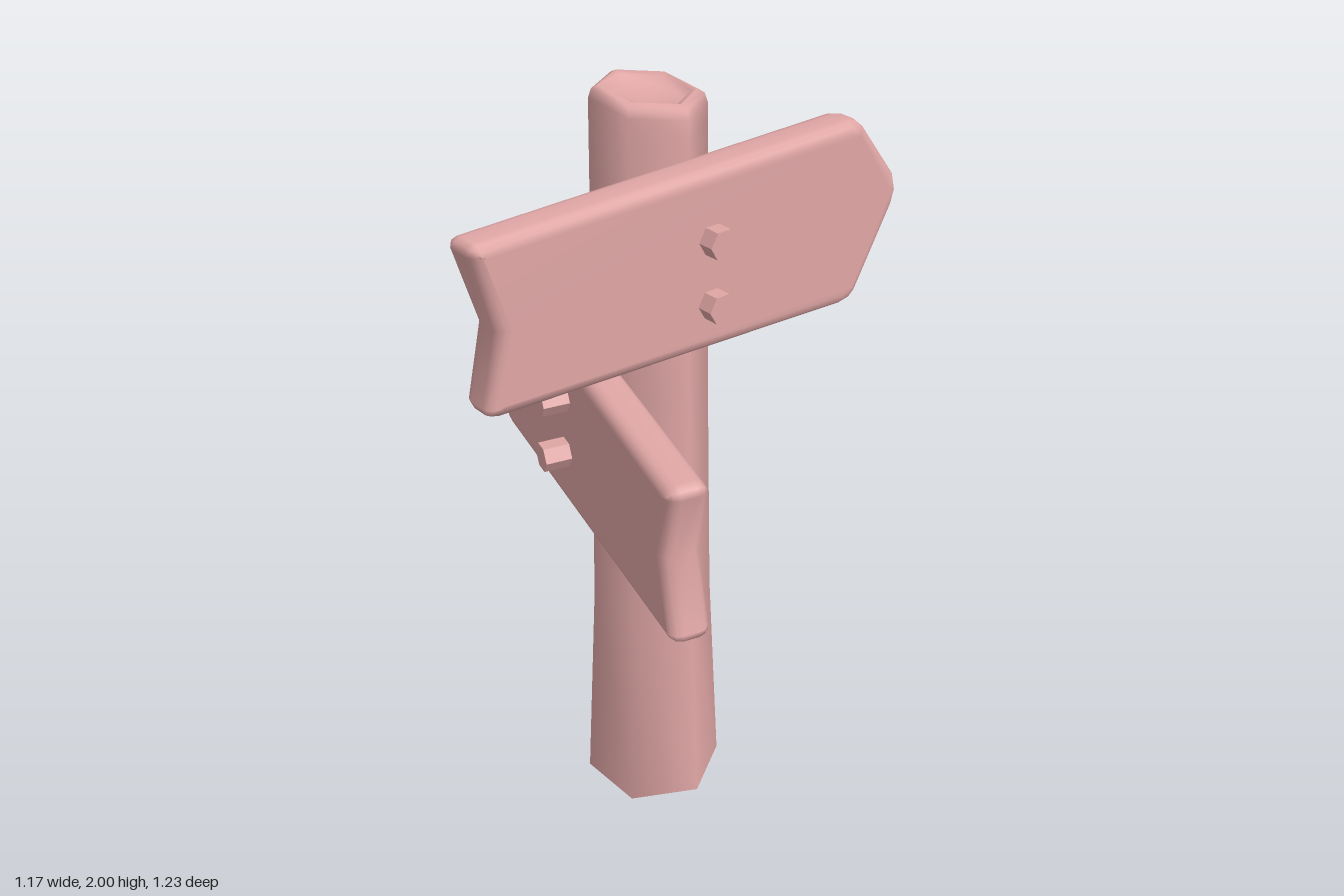
import * as THREE from 'three';
import { mergeVertices } from 'three/addons/utils/BufferGeometryUtils.js';

const wood = new THREE.MeshStandardMaterial({ color: 0xdfa6a5 });
wood.name = 'rosyWood';

const DEG = Math.PI / 180;
const CORNER = 8 * DEG; // turn of the six-sided post

// Weld vertices and give area-weighted smooth normals
function smooth(geometry) {
  geometry.deleteAttribute('normal');
  geometry.deleteAttribute('uv');
  const welded = mergeVertices(geometry, 1e-4);
  welded.computeVertexNormals();
  return welded;
}

function add(parent, name, geometry) {
  const mesh = new THREE.Mesh(geometry, wood);
  mesh.name = name;
  parent.add(mesh);
  return mesh;
}

// Six-sided tapering post with a slanted, hollowed top
function createPost() {
  const post = new THREE.Group();
  post.name = 'post';
  const profile = [
    [0.186, 0], [0.157, 0.6], [0.144, 1.25], [0.136, 1.9], [0.135, 1.955],
    [0.128, 1.976], [0.112, 1.985], [0.098, 1.98], [0.082, 1.962], [0, 1.957],
  ].map(([r, y]) => new THREE.Vector2(r, y));
  const shaft = new THREE.LatheGeometry(profile, 6, Math.PI / 2 - CORNER);
  const p = shaft.attributes.position;
  for (let i = 0; i < p.count; i++) {
    if (p.getY(i) > 1.94) p.setY(i, p.getY(i) - 0.1 * p.getX(i) - 0.06 * p.getZ(i));
  }
  add(post, 'postShaft', smooth(shaft));
  add(post, 'postBase', new THREE.CircleGeometry(0.186, 6, CORNER).rotateX(Math.PI / 2));
  post.position.set(-0.05, 0, -0.015);
  return post;
}

// Arrow board: pointed at +x, notched at -x, widening toward the point
function createBoardGeometry() {
  const outline = [
    [-0.565, 0], [-0.605, -0.17], [-0.598, -0.188], [-0.575, -0.195],
    [0.44, -0.262], [0.468, -0.258], [0.49, -0.24],
    [0.603, -0.04], [0.614, 0], [0.603, 0.04],
    [0.485, 0.188], [0.465, 0.204], [0.44, 0.21],
    [-0.6, 0.204], [-0.616, 0.198], [-0.62, 0.18],
  ].map(([x, y]) => new THREE.Vector2(x, y));
  const board = new THREE.ExtrudeGeometry(new THREE.Shape(outline), {
    depth: 0.04, bevelThickness: 0.03, bevelSize: 0.028, bevelOffset: -0.028, bevelSegments: 3,
  });
  return smooth(board.translate(0, 0, -0.02));
}

// Hexagonal bolt head along z, flat faced
function createBoltGeometry(reach) {
  const bolt = new THREE.CylinderGeometry(0.037, 0.037, reach, 6)
    .rotateY(Math.PI / 6).rotateX(Math.PI / 2).translate(0, 0, reach / 2).toNonIndexed();
  bolt.computeVertexNormals();
  return bolt;
}

function createSign(name, { position, turn, roll, boltReach }) {
  const sign = new THREE.Group();
  sign.name = name;
  add(sign, 'arrowBoard', createBoardGeometry());
  for (const y of [0.045, -0.112]) {
    add(sign, 'bolt', createBoltGeometry(boltReach)).position.set(0.003, y, 0);
  }
  sign.position.set(...position);
  sign.rotation.set(roll, turn * DEG, 0, 'YXZ');
  return sign;
}

export function createModel() {
  const model = new THREE.Group();
  model.name = 'signpost';
  model.add(createPost());
  model.add(createSign('upperSign', {
    position: [0, 1.658, 0.16], turn: 21, roll: 0, boltReach: 0.09,
  }));
  // The lower sign is the same board turned over
  model.add(createSign('lowerSign', {
    position: [-0.225, 1.137, 0], turn: 95, roll: Math.PI, boltReach: 0.117,
  }));
  return model;
}
